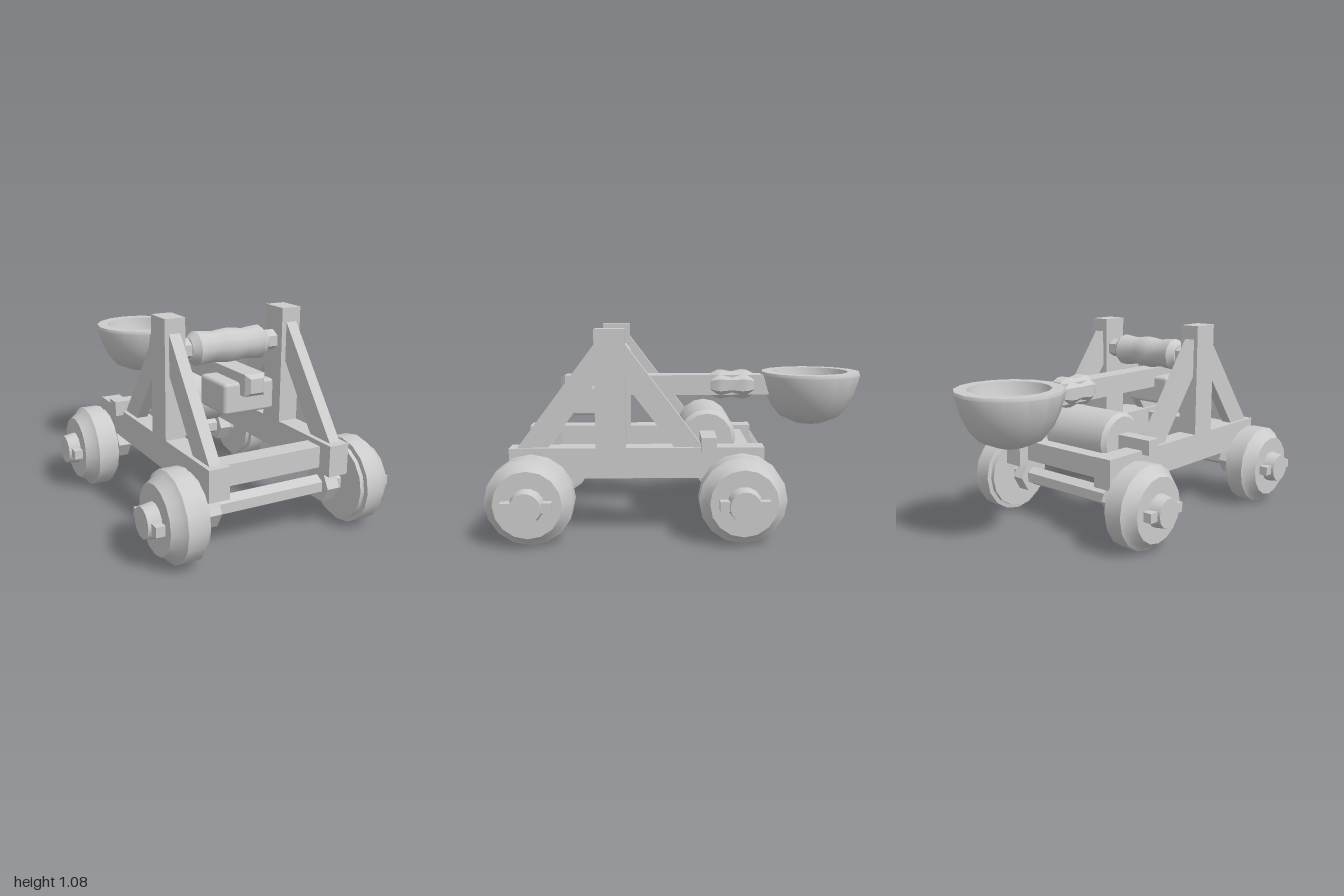
import * as THREE from 'three';
import { toCreasedNormals } from 'three/addons/utils/BufferGeometryUtils.js';
import { RoundedBoxGeometry } from 'three/addons/geometries/RoundedBoxGeometry.js';

const mat = new THREE.MeshStandardMaterial({ color: 0xcccccc });

export function createModel() {
  const model = new THREE.Group();

  const add = (name, geo, x = 0, y = 0, z = 0, parent = model) => {
    const mesh = new THREE.Mesh(geo, mat);
    mesh.name = name;
    mesh.position.set(x, y, z);
    parent.add(mesh);
    return mesh;
  };

  // Box given by its [min, max] range on each axis
  const beam = (name, [x0, x1], [y0, y1], [z0, z1], parent) =>
    add(name, new THREE.BoxGeometry(x1 - x0, y1 - y0, z1 - z0),
      (x0 + x1) / 2, (y0 + y1) / 2, (z0 + z1) / 2, parent);

  // Turned solid from [radius, position] pairs, laid along the chosen axis
  const turned = (pts, sides, axis = 'y', spin = 0, crease = 0.5) => {
    const geo = new THREE.LatheGeometry(pts.map(p => new THREE.Vector2(...p)), sides);
    geo.rotateY(spin);
    if (axis === 'x') geo.rotateZ(-Math.PI / 2);
    if (axis === 'z') geo.rotateX(Math.PI / 2);
    return toCreasedNormals(geo, crease);
  };
  const rod = (r, a, b) => [[0, a], [r, a], [r, b], [0, b]];

  // Diagonal brace drawn as (z, y) corners
  const brace = (name, corners, x) => {
    const shape = new THREE.Shape(corners.map(c => new THREE.Vector2(...c)));
    const geo = new THREE.ExtrudeGeometry(shape, { depth: 0.06, bevelEnabled: false });
    geo.rotateY(-Math.PI / 2);
    add(name, geo, x + 0.03);
  };

  // Side frames: rail, post and two braces
  for (const s of [1, -1]) {
    const side = s > 0 ? 'left' : 'right';
    const xr = s > 0 ? [0.28, 0.39] : [-0.39, -0.28];
    beam(side + 'Rail', xr, [0.31, 0.47], [-0.42, 0.9]);
    beam(side + 'Post', xr, [0.47, 1.08], [0.3, 0.455]);
    brace(side + 'FrontBrace', [[0.86, 0.47], [0.455, 1.005], [0.455, 0.8], [0.7, 0.47]], s * 0.337);
    brace(side + 'RearBrace', [[-0.1, 0.47], [0.3, 1.005], [0.3, 0.8], [0.05, 0.47]], s * 0.337);
  }
  beam('frontCrossBeam', [-0.29, 0.29], [0.336, 0.446], [0.715, 0.82]);
  beam('rearCrossBeam', [-0.29, 0.29], [0.336, 0.446], [-0.36, -0.25]);

  // Wheels with hub and peg, axles and hexagonal bearings
  const wheelGeo = turned([[0, 0.42], [0.2, 0.42], [0.2, 0.442], [0.224, 0.445], [0.224, 0.542],
    [0.2, 0.56], [0.172, 0.605], [0, 0.605]], 16, 'x');
  const hubGeo = turned([[0, 0.58], [0.092, 0.58], [0.077, 0.67], [0, 0.67]], 14, 'x');
  const axleGeo = turned(rod(0.052, -0.43, 0.43), 6, 'x', Math.PI / 6);
  const bearingGeo = turned(rod(0.092, -0.036, 0.036), 6, 'x');
  for (const [end, z] of [['front', 0.778], ['rear', -0.297]]) {
    add(end + 'Axle', axleGeo, 0, 0.228, z);
    for (const s of [1, -1]) {
      const wheel = new THREE.Group();
      wheel.name = end + (s > 0 ? 'Left' : 'Right') + 'Wheel';
      wheel.position.set(0, 0.228, z);
      if (s < 0) wheel.rotation.y = Math.PI;
      add('rim', wheelGeo, 0, 0, 0, wheel);
      add('hub', hubGeo, 0, 0, 0, wheel);
      add('bearing', bearingGeo, 0.338, 0, 0, wheel);
      beam('peg', [0.608, 0.655], [-0.025, 0.025], [-0.125, 0.125], wheel);
      model.add(wheel);
    }
  }

  // Winch drum on a square shaft
  add('winchDrum', turned([[0, -0.226], [0.132, -0.226], [0.152, -0.203], [0.152, 0.203],
    [0.132, 0.226], [0, 0.226]], 16, 'x'), 0, 0.49, -0.133);
  beam('winchShaft', [-0.435, 0.435], [0.45, 0.53], [-0.17, -0.09]);

  // Wavy padded stop roller between the posts
  add('stopRoller', turned([[0, -0.222], [0.06, -0.222], [0.09, -0.185], [0.086, -0.14], [0.079, -0.09],
    [0.086, -0.04], [0.09, 0], [0.086, 0.04], [0.079, 0.09], [0.086, 0.14], [0.09, 0.185],
    [0.06, 0.222], [0, 0.222]], 12, 'x', 0, 0.6), 0, 0.9, 0.37);
  add('rollerShaft', turned(rod(0.054, -0.29, 0.29), 6, 'x', Math.PI / 6), 0, 0.903, 0.37);

  // Throwing arm with a tapered tip, binding and counterweight
  const k = Math.SQRT2;
  add('throwingArm', turned([[0, -0.5], [0.055 * k, -0.5], [0.055 * k, 0.645], [0.036 * k, 0.67], [0, 0.67]],
    4, 'z', Math.PI / 4), 0, 0.755, 0);
  add('armBinding', turned([[0, -0.4], [0.065, -0.4], [0.083, -0.365], [0.086, -0.335], [0.074, -0.28],
    [0.085, -0.22], [0.083, -0.2], [0.062, -0.16], [0, -0.16]], 8, 'z', Math.PI / 8, 0.6), 0, 0.755, 0);
  add('counterweight', new RoundedBoxGeometry(0.286, 0.16, 0.25, 1, 0.018), 0, 0.681, 0.475);

  // Hollow throwing bowl
  add('bowl', turned([[0, 0.53], [0.08, 0.538], [0.165, 0.575], [0.215, 0.635], [0.25, 0.71], [0.279, 0.81],
    [0.274, 0.826], [0.21, 0.826], [0.195, 0.76], [0.16, 0.69], [0.1, 0.635], [0, 0.615]],
    16, 'y', 0, 0.65), 0, 0, -0.722);

  return model;
}
